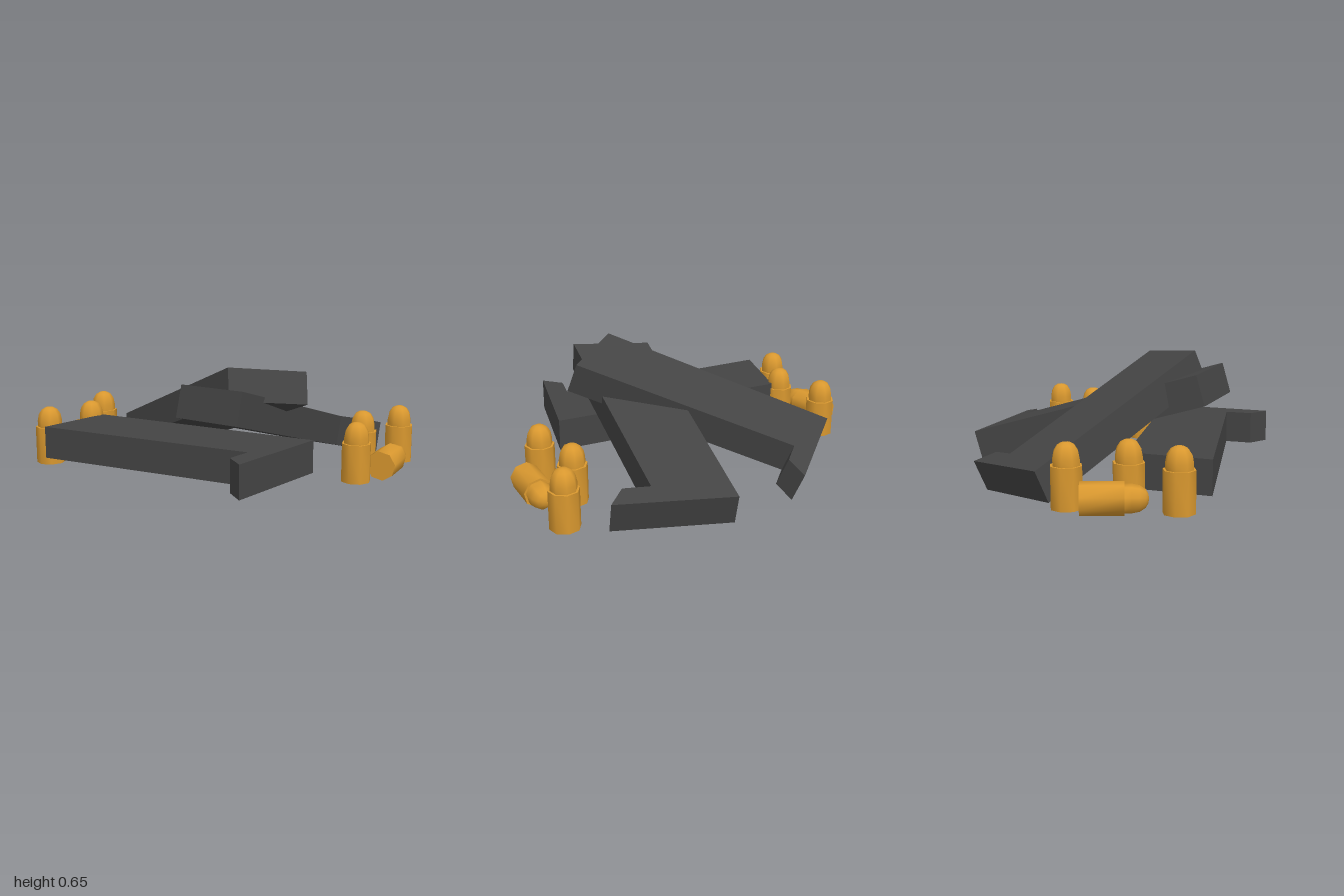
import * as THREE from 'three';
import { toCreasedNormals } from 'three/addons/utils/BufferGeometryUtils.js';

const darkMetal = new THREE.MeshStandardMaterial({ color: 0x444444 });
const brass = new THREE.MeshStandardMaterial({ color: 0xd9982f });

// Magazine outline: u runs from the feed end to the base, v from the back to the toe
function magazineGeometry() {
  const outline = [[0, 0], [1.26, 0], [1.16, 0.58], [1.07, 0.5], [1.09, 0.367], [-0.078, 0.397]];
  const shape = new THREE.Shape(outline.map(([u, v]) => new THREE.Vector2(u, v)));
  return new THREE.ExtrudeGeometry(shape, { depth: 0.165, bevelEnabled: false });
}

// Eight-sided cartridge: case, shoulder step and rounded tip
function cartridgeGeometry() {
  const profile = [[0, 0], [0.075, 0], [0.075, 0.195], [0.064, 0.195], [0.064, 0.225],
    [0.057, 0.26], [0.04, 0.286], [0.02, 0.297], [0, 0.3]];
  const lathe = new THREE.LatheGeometry(profile.map(([r, y]) => new THREE.Vector2(r, y)), 8);
  return toCreasedNormals(lathe, Math.PI / 3);
}

export function createModel() {
  const group = new THREE.Group();

  // Each magazine: feed-end back corner, long direction, toe direction
  const magGeo = magazineGeometry();
  const magazines = [
    ['flatMagazine', [-0.64, 0.305, -0.36], [0.778, 0, 0.627], [-0.627, 0, 0.778]],
    ['middleMagazine', [-0.28, 0.567, 0.24], [0.647, -0.276, -0.71], [0.742, -0.012, 0.698]],
    ['topMagazine', [-0.07, 0.665, 0.365], [-0.328, -0.348, -0.879], [0.95, -0.176, -0.3]],
  ];
  for (const [name, corner, along, across] of magazines) {
    const u = new THREE.Vector3(...along).normalize();
    const w = u.clone().cross(new THREE.Vector3(...across)).normalize();
    const v = w.clone().cross(u);
    const mesh = new THREE.Mesh(magGeo, darkMetal);
    mesh.name = name;
    mesh.quaternion.setFromRotationMatrix(new THREE.Matrix4().makeBasis(u, v, w));
    mesh.position.set(...corner);
    group.add(mesh);
  }

  // Cartridges standing on their bases
  const cartridgeGeo = cartridgeGeometry();
  const standing = [[-0.62, -0.65], [-0.7, -0.38], [-0.925, -0.255],
    [0.92, 0.04], [0.685, 0.14], [0.57, 0.4]];
  standing.forEach(([x, z], i) => {
    const mesh = new THREE.Mesh(cartridgeGeo, brass);
    mesh.name = `standingCartridge${i + 1}`;
    mesh.position.set(x, 0.08, z);
    group.add(mesh);
  });

  // Cartridges lying on their sides: base position and tip direction
  const lying = [[-0.74, -0.645, -0.14, 0.255], [0.695, 0.41, 0.175, -0.24]];
  lying.forEach(([x, z, dx, dz], i) => {
    const mesh = new THREE.Mesh(cartridgeGeo, brass);
    mesh.name = `lyingCartridge${i + 1}`;
    mesh.position.set(x, 0.152, z);
    mesh.quaternion.setFromUnitVectors(new THREE.Vector3(0, 1, 0),
      new THREE.Vector3(dx, 0, dz).normalize());
    group.add(mesh);
  });

  return group;
}
